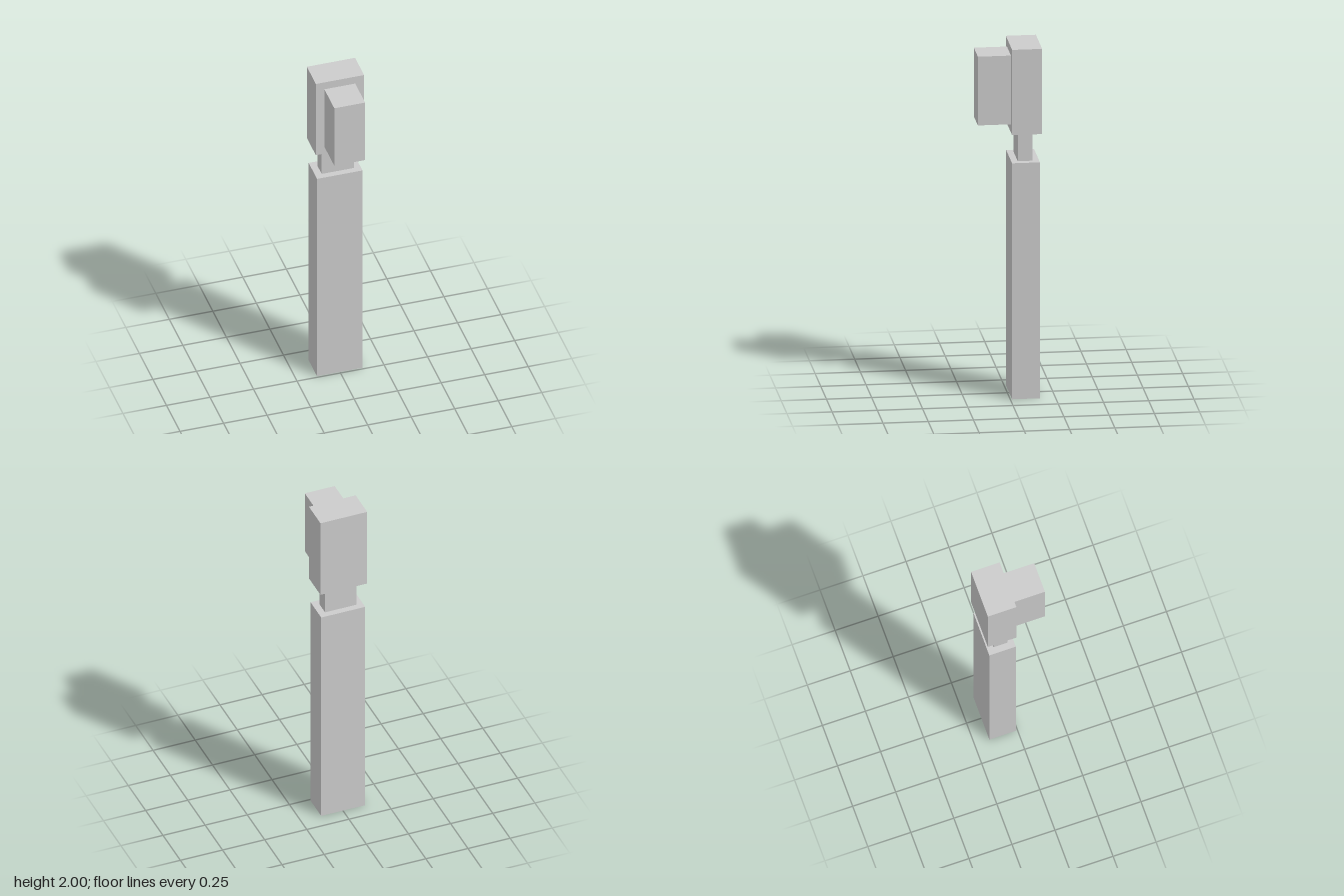
import * as THREE from 'three';

const material = new THREE.MeshStandardMaterial({ color: 0xcccccc, flatShading: true });

// Box given by its extents along each axis
function block(name, [x0, x1], [y0, y1], [z0, z1]) {
  const mesh = new THREE.Mesh(new THREE.BoxGeometry(x1 - x0, y1 - y0, z1 - z0), material);
  mesh.position.set((x0 + x1) / 2, (y0 + y1) / 2, (z0 + z1) / 2);
  mesh.name = name;
  return mesh;
}

export function createModel() {
  const model = new THREE.Group();
  model.name = 'postWithHead';
  model.add(
    // Tall post standing on the ground
    block('post', [-0.132, 0.129], [0, 1.349], [-0.164, -0.01]),
    // Narrow neck joining post and head
    block('neck', [-0.094, 0.091], [1.349, 1.513], [-0.127, -0.046]),
    // Head with a block projecting from its front
    block('head', [-0.139, 0.138], [1.513, 2], [-0.175, -0.009]),
    block('frontBlock', [-0.09, 0.087], [1.56, 1.953], [-0.009, 0.174]),
  );
  return model;
}
